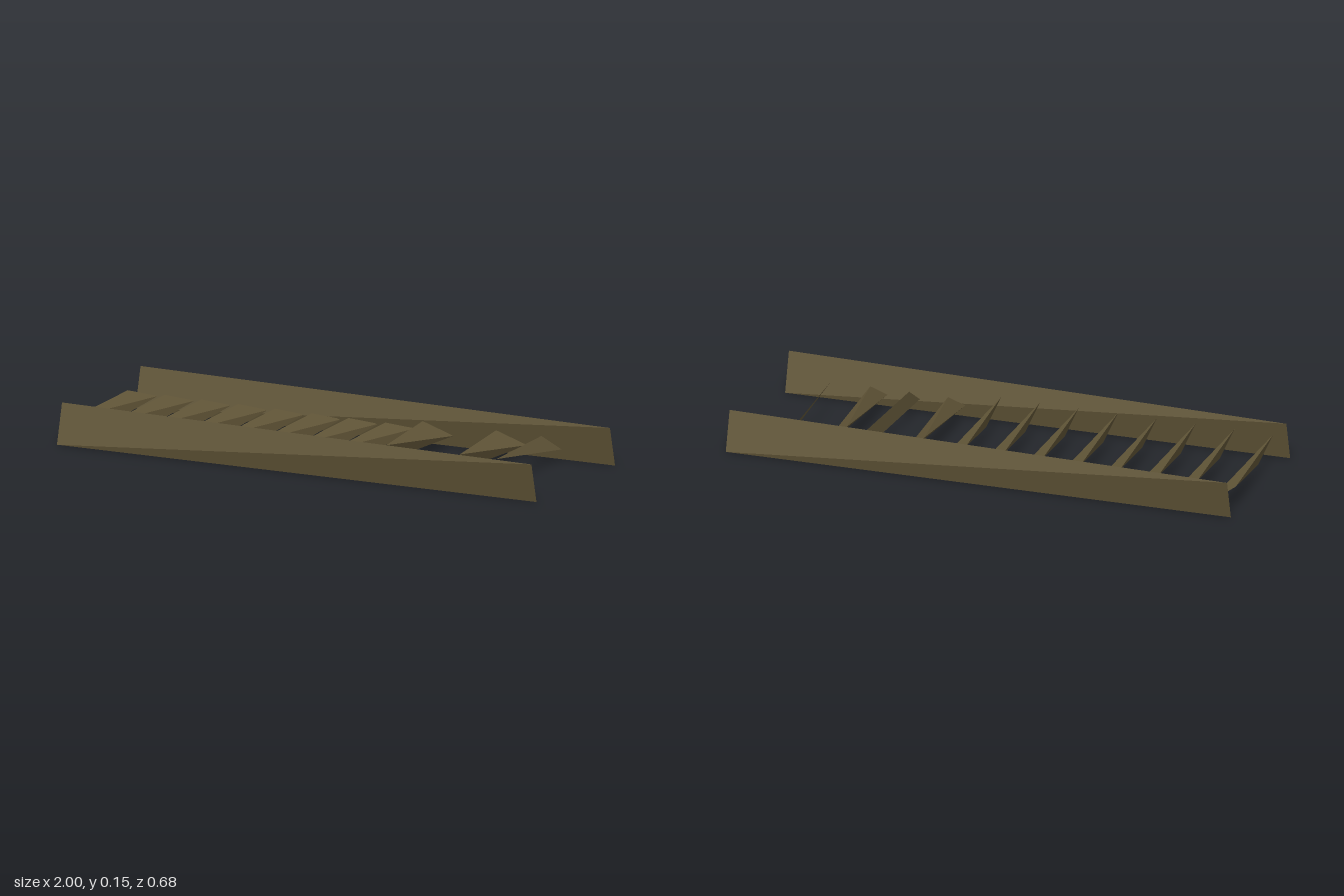
import * as THREE from 'three';
import { ConvexGeometry } from 'three/addons/geometries/ConvexGeometry.js';

export function createModel() {
  const model = new THREE.Group();
  const wood = new THREE.MeshStandardMaterial({ color: 0x625638, flatShading: true });
  wood.name = 'dark weathered wood';

  function add(name, geometry, x, z) {
    const mesh = new THREE.Mesh(geometry, wood);
    mesh.name = name;
    mesh.position.set(x, 0, z);
    model.add(mesh);
  }

  // a four-cornered solid, pointed like a twisted splinter
  const splinter = (corners) => new ConvexGeometry(corners.map((c) => new THREE.Vector3(...c)));

  // an open blade made of a few triangles
  function blade(corners, faces) {
    const geometry = new THREE.BufferGeometry();
    geometry.setAttribute('position', new THREE.Float32BufferAttribute(corners.flat(), 3));
    geometry.setIndex(faces);
    const flat = geometry.toNonIndexed();
    flat.computeVertexNormals();
    return flat;
  }

  // side rails: four corners only, so each is twisted along its length
  const railCorners = [
    [-1, 0.154, -0.0205], [-1, 0, 0.0205],
    [1, 0.154, 0.0205], [1, 0, -0.0205],
  ];
  add('frontRail', splinter(railCorners), 0, 0.318);
  add('backRail', splinter(railCorners), 0, -0.318);

  // rungs twisted down at the front
  const twisted = [[0.03, 0.053, -0.315], [-0.043, 0.09, -0.212], [-0.002, 0.103, 0.3], [0.018, 0.02, 0.195]];
  for (let i = 0; i < 8; i++) add('rung', splinter(twisted), -0.945 + i * 0.155, 0);

  // rungs with a raised front corner
  const raised = [[0.03, 0.042, -0.318], [-0.045, 0.114, -0.212], [-0.018, 0.048, 0.3], [0.012, 0.117, 0.195]];
  for (const x of [0.3, 0.61]) add('raisedRung', splinter(raised), x, 0);

  // upright rung, a single face turned to the right
  const upright = [[0.012, 0.043, -0.315], [0.008, 0.114, -0.212], [-0.012, 0.048, 0.3], [-0.008, 0.117, 0.195]];
  add('uprightRung', blade(upright, [0, 3, 1, 0, 2, 3]), 0.475, 0);

  // broken rung that stops short of the front rail, seen from both sides
  const broken = [[0.012, 0.043, -0.315], [-0.02, 0.114, -0.212], [0.002, 0.117, 0.195]];
  add('brokenRung', blade(broken, [0, 2, 1, 0, 1, 2]), 0.775, 0);

  return model;
}
